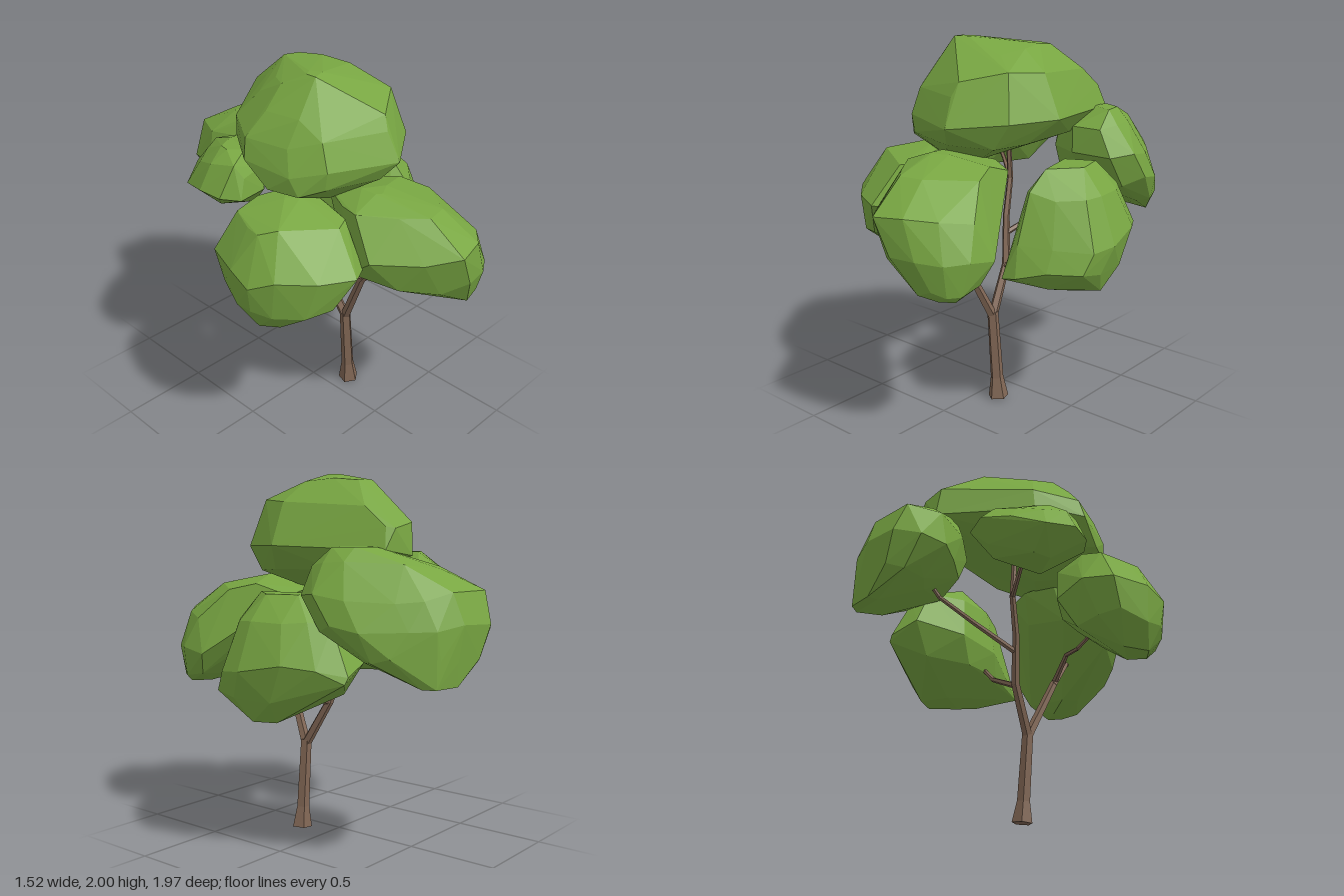
import * as THREE from 'three';
import { ConvexGeometry } from 'three/addons/geometries/ConvexGeometry.js';

const leaf = new THREE.MeshStandardMaterial({ color: 0x78a642, flatShading: true });
leaf.name = 'leaf green';
const bark = new THREE.MeshStandardMaterial({ color: 0x806654, flatShading: true });
bark.name = 'bark brown';

// Small seeded random generator
function seeded(seed) {
  let s = seed;
  return () => (s = (s * 16807) % 2147483647) / 2147483647;
}

// Faceted leaf clump: a plan outline [x, z] is fitted into the box of every
// level [y, xMin, xMax, zMin, zMax]; a hull is drawn around these rings and
// a few single corners [x, y, z] that stick out.
function leafClump(name, seed, outline, levels, corners) {
  const rand = seeded(seed * 7919);
  const plan = new THREE.Box2().setFromPoints(outline.map((p) => new THREE.Vector2(...p)));
  const size = plan.getSize(new THREE.Vector2());
  const points = corners.map((p) => new THREE.Vector3(...p));
  levels.forEach(([y, x0, x1, z0, z1], i) => {
    const isEnd = i === 0 || i === levels.length - 1;
    outline.forEach(([x, z], k) => {
      if (isEnd && k % 3) return;
      const swell = 0.98 + rand() * 0.05;
      const u = ((x - plan.min.x) / size.x - 0.5) * swell + 0.5;
      const v = ((z - plan.min.y) / size.y - 0.5) * swell + 0.5;
      const lift = isEnd ? 0 : (rand() - 0.5) * 0.06;
      points.push(new THREE.Vector3(x0 + (x1 - x0) * u, y + lift, z0 + (z1 - z0) * v));
    });
  });
  const mesh = new THREE.Mesh(new ConvexGeometry(points), leaf);
  mesh.name = name;
  return mesh;
}

// Tapered limb through points [x, y, z, radius]
function limb(name, path) {
  const group = new THREE.Group();
  group.name = name;
  for (let i = 0; i < path.length - 1; i++) {
    const a = new THREE.Vector3(...path[i]);
    const b = new THREE.Vector3(...path[i + 1]);
    const dir = b.clone().sub(a);
    const geo = new THREE.CylinderGeometry(path[i + 1][3], path[i][3], dir.length() + (i ? 0.01 : 0), 5);
    const mesh = new THREE.Mesh(geo, bark);
    mesh.name = name + 'Segment';
    mesh.position.copy(a).add(b).multiplyScalar(0.5);
    mesh.quaternion.setFromUnitVectors(new THREE.Vector3(0, 1, 0), dir.normalize());
    group.add(mesh);
  }
  return group;
}

export function createModel() {
  const tree = new THREE.Group();
  tree.name = 'tree';

  // Trunk and branches
  tree.add(
    limb('trunk', [[0.12, 0.004, 0.18, 0.058], [0.11, 0.12, 0.18, 0.037], [0.08, 0.5, 0.18, 0.032]]),
    limb('frontBranch', [[0.08, 0.48, 0.18, 0.028], [0.02, 0.83, 0.35, 0.022], [0.02, 1.0, 0.48, 0.016], [0.04, 1.03, 0.55, 0.013]]),
    limb('rightTwig', [[0.02, 0.85, 0.36, 0.017], [-0.13, 0.95, 0.27, 0.013], [-0.24, 0.94, 0.22, 0.011], [-0.36, 1.02, 0.22, 0.01]]),
    limb('backBranch', [[0.08, 0.48, 0.18, 0.028], [0.05, 0.74, 0.03, 0.024], [0, 1.0, -0.03, 0.02], [-0.03, 1.2, -0.1, 0.017], [-0.03, 1.5, -0.08, 0.013]]),
    limb('leftTwig', [[0.05, 0.73, 0.04, 0.018], [0.22, 0.81, 0.04, 0.014], [0.33, 0.94, 0.02, 0.011]]),
    limb('rearTwig', [[0.02, 0.91, -0.01, 0.017], [0.1, 1.01, -0.26, 0.014], [0.15, 1.09, -0.5, 0.012], [0.18, 1.2, -0.6, 0.01]]),
    limb('sideTwig', [[-0.03, 1.2, -0.1, 0.014], [-0.16, 1.28, -0.2, 0.012], [-0.28, 1.4, -0.26, 0.01]])
  );

  // Leaf clumps: plan outline, levels from top to bottom, single corners
  tree.add(
    leafClump('topLeaves', 3,
      [[0.13, -0.59], [0.3, -0.54], [0.33, -0.23], [0.44, 0.08], [0.34, 0.35], [0.07, 0.53],
        [-0.3, 0.38], [-0.42, 0.24], [-0.48, -0.02], [-0.32, -0.27], [-0.1, -0.43]],
      [[2.0, -0.19, -0.1, 0.1, 0.2], [1.93, -0.24, 0.2, -0.26, 0.28], [1.83, -0.35, 0.36, -0.4, 0.42],
        [1.71, -0.44, 0.39, -0.55, 0.47], [1.59, -0.47, 0.44, -0.58, 0.53],
        [1.48, -0.44, 0.32, -0.22, 0.46], [1.37, -0.2, 0.03, 0.08, 0.3]],
      [[0.3, 1.49, -0.2], [0.24, 1.7, -0.55], [0.17, 1.96, -0.1]]),
    leafClump('frontLeaves', 5,
      [[0.06, 0.98], [0.24, 0.95], [0.38, 0.83], [0.48, 0.66], [0.4, 0.46], [0.16, 0.16],
        [-0.1, 0.2], [-0.23, 0.45], [-0.28, 0.61], [-0.09, 0.84]],
      [[1.44, -0.1, 0.05, 0.4, 0.52], [1.37, -0.22, 0.31, 0.17, 0.78], [1.21, -0.27, 0.42, 0.25, 0.98],
        [1.01, -0.14, 0.46, 0.46, 0.97], [0.88, 0.08, 0.42, 0.62, 0.9], [0.82, 0.26, 0.38, 0.72, 0.84]],
      [[0.47, 1.0, 0.61], [0.42, 0.88, 0.66], [0.2, 1.33, 0.19], [-0.25, 1.06, 0.5]]),
    leafClump('rightLeaves', 8,
      [[-0.76, 0.3], [-0.74, 0.16], [-0.66, -0.05], [-0.5, -0.1], [-0.3, -0.06], [-0.2, 0.15],
        [-0.22, 0.4], [-0.26, 0.6], [-0.36, 0.64], [-0.54, 0.57], [-0.69, 0.42]],
      [[1.42, -0.38, -0.22, 0.1, 0.24], [1.34, -0.63, -0.18, -0.02, 0.48], [1.13, -0.76, -0.2, -0.1, 0.64],
        [0.96, -0.73, -0.32, -0.03, 0.56], [0.83, -0.66, -0.5, 0.14, 0.38]],
      [[-0.42, 1.39, 0.02], [-0.24, 1.15, 0.5], [-0.27, 1.02, 0.2]]),
    leafClump('leftLeaves', 11,
      [[0.76, 0.05], [0.74, 0.2], [0.58, 0.34], [0.42, 0.43], [0.34, 0.35], [0.24, 0.1],
        [0.22, -0.2], [0.36, -0.45], [0.52, -0.48], [0.63, -0.36], [0.72, -0.2]],
      [[1.37, 0.36, 0.56, -0.2, 0.18], [1.25, 0.28, 0.67, -0.35, 0.29], [1.01, 0.22, 0.76, -0.48, 0.39],
        [0.86, 0.26, 0.73, -0.36, 0.42], [0.73, 0.47, 0.68, -0.14, 0.12]],
      [[0.35, 0.83, 0.42], [0.51, 0.76, 0.24], [0.54, 0.95, -0.47]]),
    leafClump('backLeaves', 14,
      [[0.03, -0.98], [0.24, -0.95], [0.38, -0.88], [0.47, -0.76], [0.61, -0.54], [0.64, -0.36],
        [0.57, -0.22], [0.32, -0.2], [0.08, -0.35], [-0.03, -0.53], [-0.1, -0.7], [-0.08, -0.88]],
      [[1.61, 0.3, 0.48, -0.5, -0.33], [1.52, 0.04, 0.53, -0.75, -0.21], [1.38, -0.06, 0.63, -0.92, -0.19],
        [1.22, -0.1, 0.64, -0.98, -0.31], [1.07, 0, 0.56, -0.95, -0.56], [0.95, 0.2, 0.44, -0.92, -0.83]],
      [[0, 1.4, -0.92], [-0.08, 1.4, -0.75]]),
    leafClump('smallBackLeaves', 17,
      [[-0.57, -0.26], [-0.55, -0.13], [-0.48, -0.04], [-0.3, -0.06], [-0.13, -0.25],
        [-0.09, -0.5], [-0.13, -0.58], [-0.22, -0.61], [-0.36, -0.54], [-0.51, -0.44]],
      [[1.57, -0.42, -0.3, -0.32, -0.14], [1.48, -0.5, -0.14, -0.52, -0.07],
        [1.36, -0.57, -0.09, -0.61, -0.04], [1.23, -0.42, -0.16, -0.47, -0.16]],
      [[-0.47, 1.53, -0.1], [-0.2, 1.28, -0.52]])
  );
  return tree;
}
